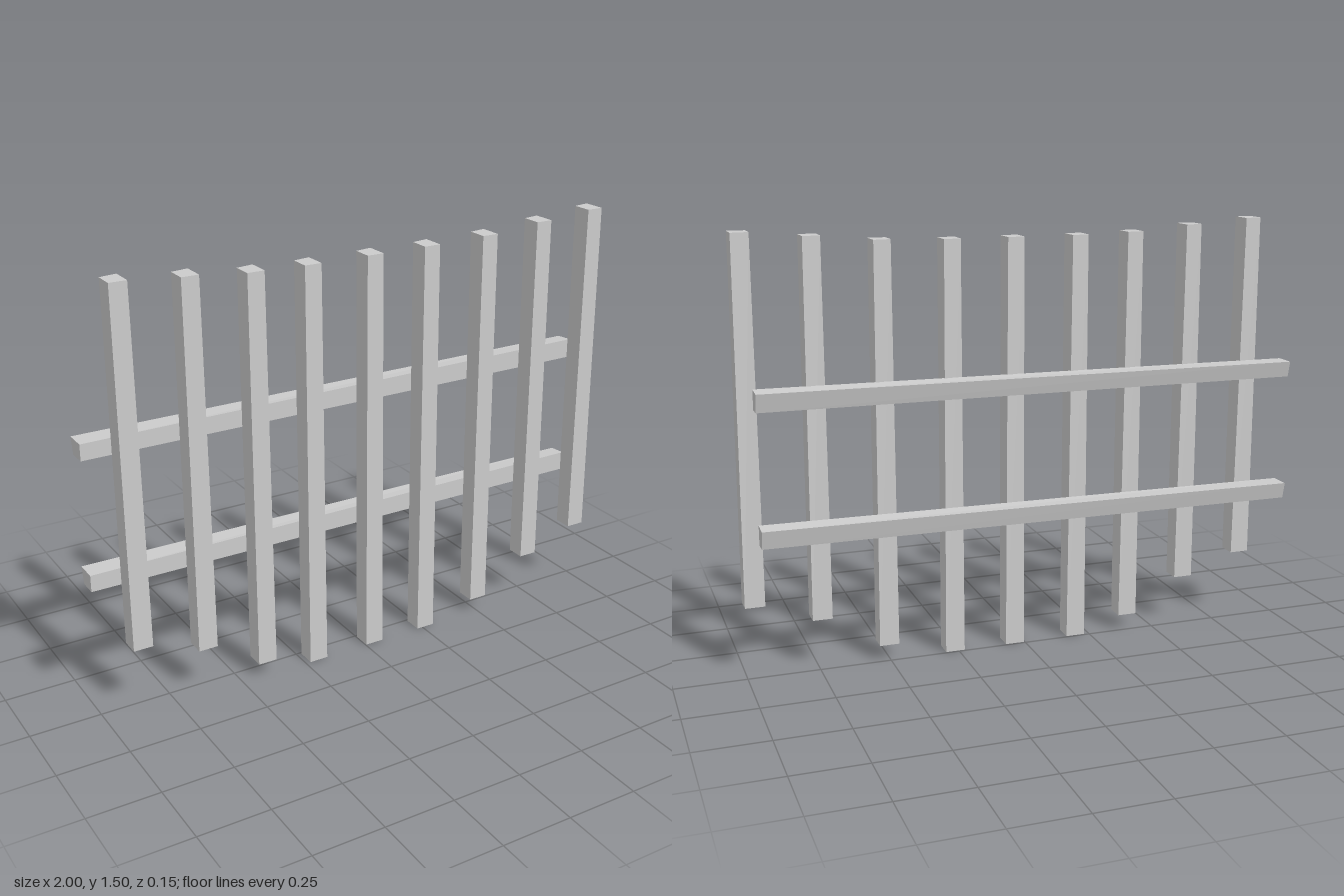
import * as THREE from 'three';

const material = new THREE.MeshStandardMaterial({ color: 0xcccccc, flatShading: true });

// A box whose corners are placed by a rule; each argument is true on the + side
function hewnBeam(name, corner) {
  const geometry = new THREE.BoxGeometry(1, 1, 1);
  const p = geometry.attributes.position;
  for (let i = 0; i < p.count; i++) {
    p.setXYZ(i, ...corner(p.getX(i) > 0, p.getY(i) > 0, p.getZ(i) > 0));
  }
  geometry.computeVertexNormals();
  const mesh = new THREE.Mesh(geometry, material);
  mesh.name = name;
  return mesh;
}

// Upright slat: tapers upward on its right edge, back face slightly skewed
function picket(left, bottom, top) {
  return hewnBeam('picket', (xp, yp, zp) => [
    left + (xp ? (yp ? 0.061 : 0.069) : 0),
    yp ? top : bottom,
    zp ? 0.075 : yp ? (xp ? -0.008 : 0.002) : 0.007,
  ]);
}

// Crosswise rail: thicker and lower at one end, back face leaning outward
function rail(name, bottom, topAtMinusX, topAtPlusX) {
  return hewnBeam(name, (xp, yp, zp) => [
    xp ? 0.94 : -1,
    yp ? (xp ? topAtPlusX : topAtMinusX) - (zp || !xp ? 0 : 0.005) : bottom,
    zp ? 0.003 : (xp ? -0.062 : -0.075) + (yp ? 0 : 0.014),
  ]);
}

export function createModel() {
  const fence = new THREE.Group();
  fence.name = 'fence';

  // Pickets: lengths step in pairs from the outside to the middle
  const lefts = [-0.897, -0.663, -0.438, -0.232, 0.003, 0.228, 0.468, 0.701, 0.929];
  const spans = [[0.25, 1.505], [0.178, 1.488], [0.055, 1.469], [0, 1.464]];
  lefts.forEach((x, i) => {
    const [bottom, top] = spans[Math.min(i, 8 - i, 3)];
    fence.add(picket(x, bottom, top));
  });

  // Two rails behind the pickets
  fence.add(rail('upperRail', 0.929, 0.986, 0.998));
  fence.add(rail('lowerRail', 0.468, 0.527, 0.537));
  return fence;
}
